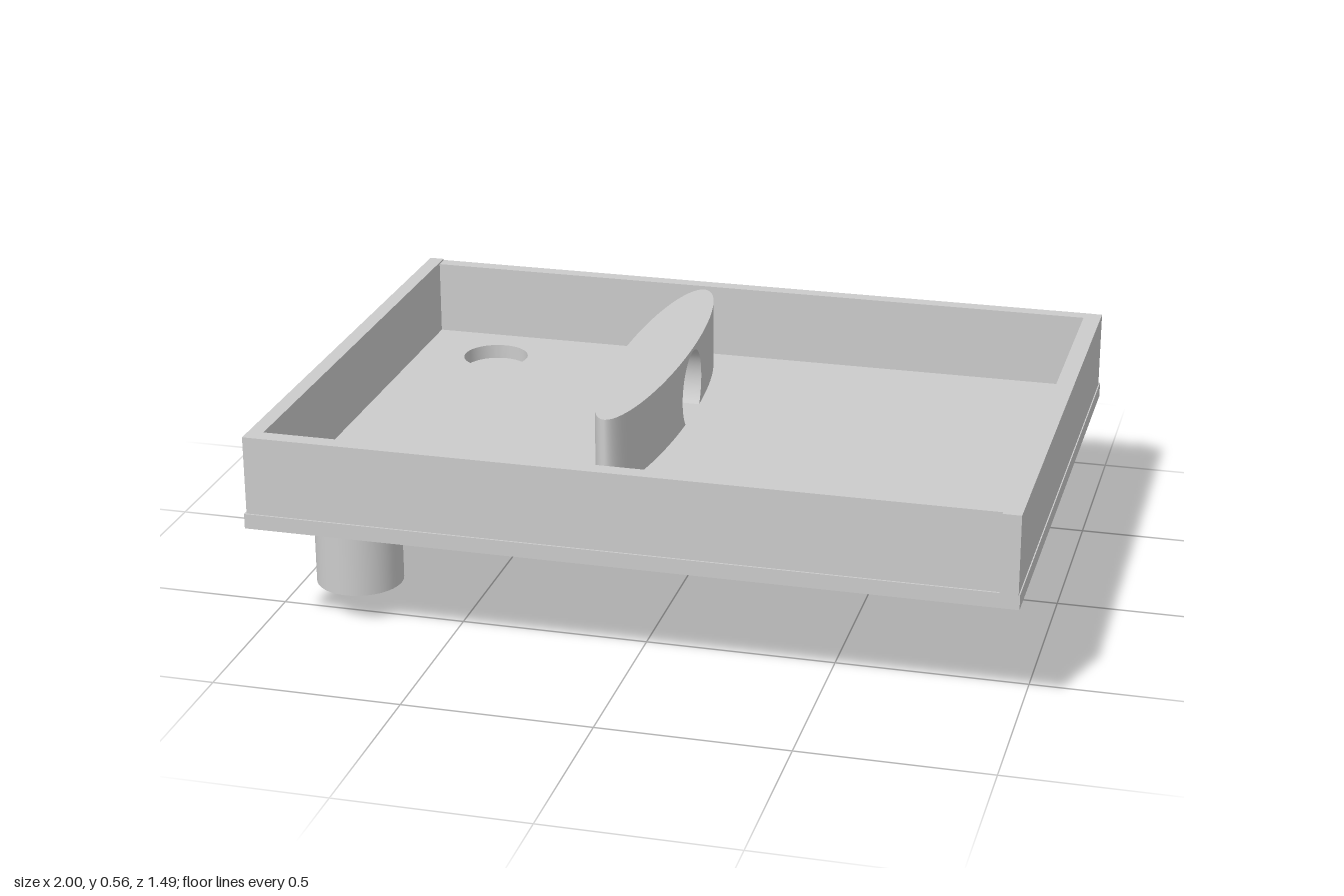
import * as THREE from 'three';
import { toCreasedNormals } from 'three/addons/utils/BufferGeometryUtils.js';

const FLOOR = 0.355, BASE = 0.315;

export function createModel() {
  const group = new THREE.Group();
  const material = new THREE.MeshStandardMaterial({ color: 0xcccccc });
  const add = (name, geometry) => {
    const mesh = new THREE.Mesh(geometry, material);
    mesh.name = name;
    group.add(mesh);
    return mesh;
  };
  const box = (name, x0, x1, y0, y1, z0, z1) =>
    add(name, new THREE.BoxGeometry(x1 - x0, y1 - y0, z1 - z0))
      .position.set((x0 + x1) / 2, (y0 + y1) / 2, (z0 + z1) / 2);
  const leg = (name, x, z, r, y0, y1) =>
    add(name, toCreasedNormals(new THREE.CylinderGeometry(r, r, y1 - y0, 48), 0.6))
      .position.set(x, (y0 + y1) / 2, z);

  // Base plate with two round holes above the legs
  const plate = new THREE.Shape([[-1, -0.745], [1, -0.745], [1, 0.74], [-1, 0.74]]
    .map(([x, z]) => new THREE.Vector2(x, z)));
  for (const [x, z, r] of [[-0.73, -0.53, 0.092], [-0.78, 0.485, 0.065]]) {
    plate.holes.push(new THREE.Path().absarc(x, z, r, 0, Math.PI * 2, true));
  }
  const plateGeometry = new THREE.ExtrudeGeometry(plate,
    { depth: FLOOR - BASE, bevelEnabled: false, curveSegments: 40 });
  plateGeometry.rotateX(Math.PI / 2);
  add('basePlate', toCreasedNormals(plateGeometry, 0.6)).position.y = FLOOR;

  // Rim walls, slightly offset from each other and from the plate edge
  box('leftWall', 0.95, 0.997, FLOOR, 0.565, -0.73, 0.745);
  box('rightWall', -0.995, -0.955, FLOOR, 0.565, -0.74, 0.735);
  box('frontWall', -0.995, 0.95, FLOOR, 0.565, 0.69, 0.735);
  box('backWall', -0.995, 0.965, FLOOR, 0.56, -0.745, -0.705);

  // Legs
  leg('backLeg', -0.74, -0.525, 0.152, 0, 0.314);
  leg('frontLeg', -0.79, 0.48, 0.115, 0.085, BASE);

  // Elliptical divider with a round tunnel through it
  const cx = -0.15, cz = -0.175, rx = 0.09, rz = 0.53, top = 0.55;
  const tunnel = { y: 0.43, z: -0.22, r: 0.11 };
  const mouth = Math.sqrt(tunnel.r ** 2 - (tunnel.y - FLOOR) ** 2);
  const arc = z => Math.sqrt(Math.max(0, tunnel.r ** 2 - (z - tunnel.z) ** 2));
  const floor = () => FLOOR, ceiling = () => top;
  const above = z => tunnel.y + arc(z), below = z => tunnel.y - arc(z);
  const { z: tz, r: tr } = tunnel;

  // Sweeps a rectangle along z; its width follows the ellipse
  const positions = [];
  const sweep = (z0, z1, low, high, steps) => {
    const ring = i => {
      const z = z0 + (z1 - z0) * (1 - Math.cos(Math.PI * i / steps)) / 2;
      const w = rx * Math.sqrt(Math.max(0, 1 - ((z - cz) / rz) ** 2));
      return [[cx - w, low(z), z], [cx + w, low(z), z], [cx + w, high(z), z], [cx - w, high(z), z]];
    };
    for (let i = 0; i < steps; i++) {
      const p = ring(i), q = ring(i + 1);
      for (let k = 0; k < 4; k++) {
        const n = (k + 1) % 4;
        positions.push(...p[k], ...p[n], ...q[n], ...p[k], ...q[n], ...q[k]);
      }
    }
  };
  sweep(cz - rz, tz - tr, floor, ceiling, 20);
  sweep(tz - tr, tz + tr, above, ceiling, 24);
  sweep(tz - tr, tz - mouth, floor, below, 8);
  sweep(tz + mouth, tz + tr, floor, below, 8);
  sweep(tz + tr, cz + rz, floor, ceiling, 20);
  const divider = new THREE.BufferGeometry();
  divider.setAttribute('position', new THREE.Float32BufferAttribute(positions, 3));
  add('divider', toCreasedNormals(divider, 0.6));

  return group;
}
